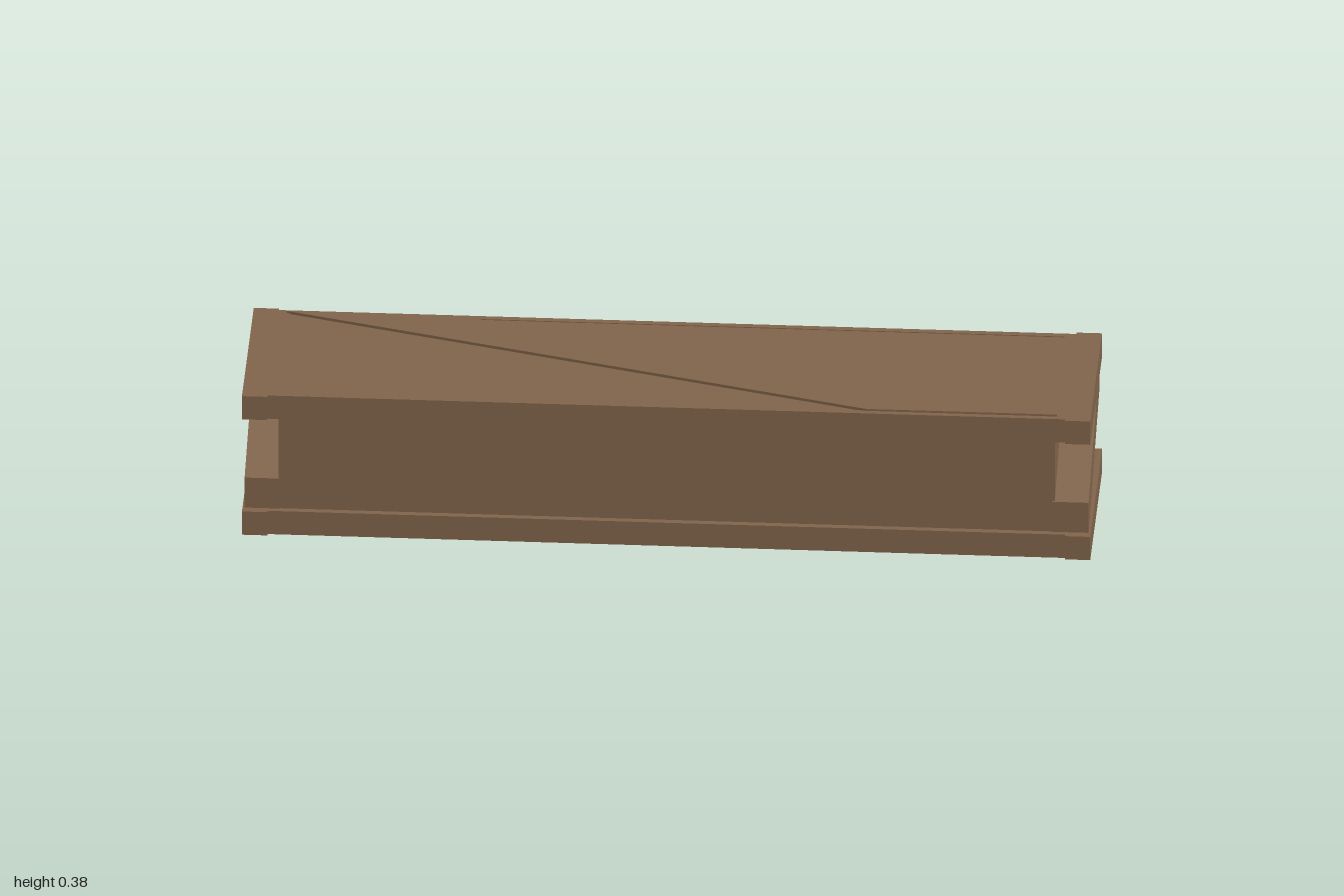
import * as THREE from 'three';

const MID = 0.19; // mid height of the beam

export function createModel() {
  const group = new THREE.Group();
  const wood = new THREE.MeshStandardMaterial({ color: 0x80634b });
  wood.name = 'brown wood';

  const add = (name, geometry) => {
    const mesh = new THREE.Mesh(geometry, wood);
    mesh.name = name;
    group.add(mesh);
    return mesh;
  };
  const box = (name, w, h, d, x, y, z) =>
    add(name, new THREE.BoxGeometry(w, h, d)).position.set(x, y, z);
  const board = (name, points, depth) =>
    add(name, new THREE.ExtrudeGeometry(
      new THREE.Shape(points.map(([x, y]) => new THREE.Vector2(x, y))),
      { depth, bevelEnabled: false }));

  // Core with slightly sunken faces
  box('core', 1.83, 0.366, 0.396, 0, MID, 0);

  for (const s of [-1, 1]) {
    const level = s < 0 ? 'lower' : 'upper';
    const y = MID + s * 0.154;

    // Frame around the top and the bottom: long rails and end battens
    for (const t of [-1, 1]) {
      box(level + 'Rail', 1.9, 0.062, 0.015, 0, y, t * 0.2055);
      box(level + 'EndBatten', 0.06, 0.062, 0.44, t * 0.97, y, 0);
      box(level + 'CrossBar', 0.03, 0.062, 0.42, t * 0.928, y, 0);
    }

    // Long diagonal board lying just proud of the top and the bottom
    const diagonal = board(level + 'Diagonal',
      [[-0.92, 0.2], [0.47, -0.2], [0.92, -0.2], [-0.51, 0.2]], 0.02);
    diagonal.rotation.x = -Math.PI / 2;
    diagonal.position.y = s < 0 ? 0 : 0.36;

    // Diagonal brace in each end recess, low at the front
    const brace = board('endBrace',
      [[-0.2, 0.067], [0.2, 0.235], [0.2, 0.313], [-0.2, 0.147]], 0.085);
    brace.rotation.y = Math.PI / 2;
    brace.position.x = s < 0 ? -0.995 : 0.91;
  }
  return group;
}
